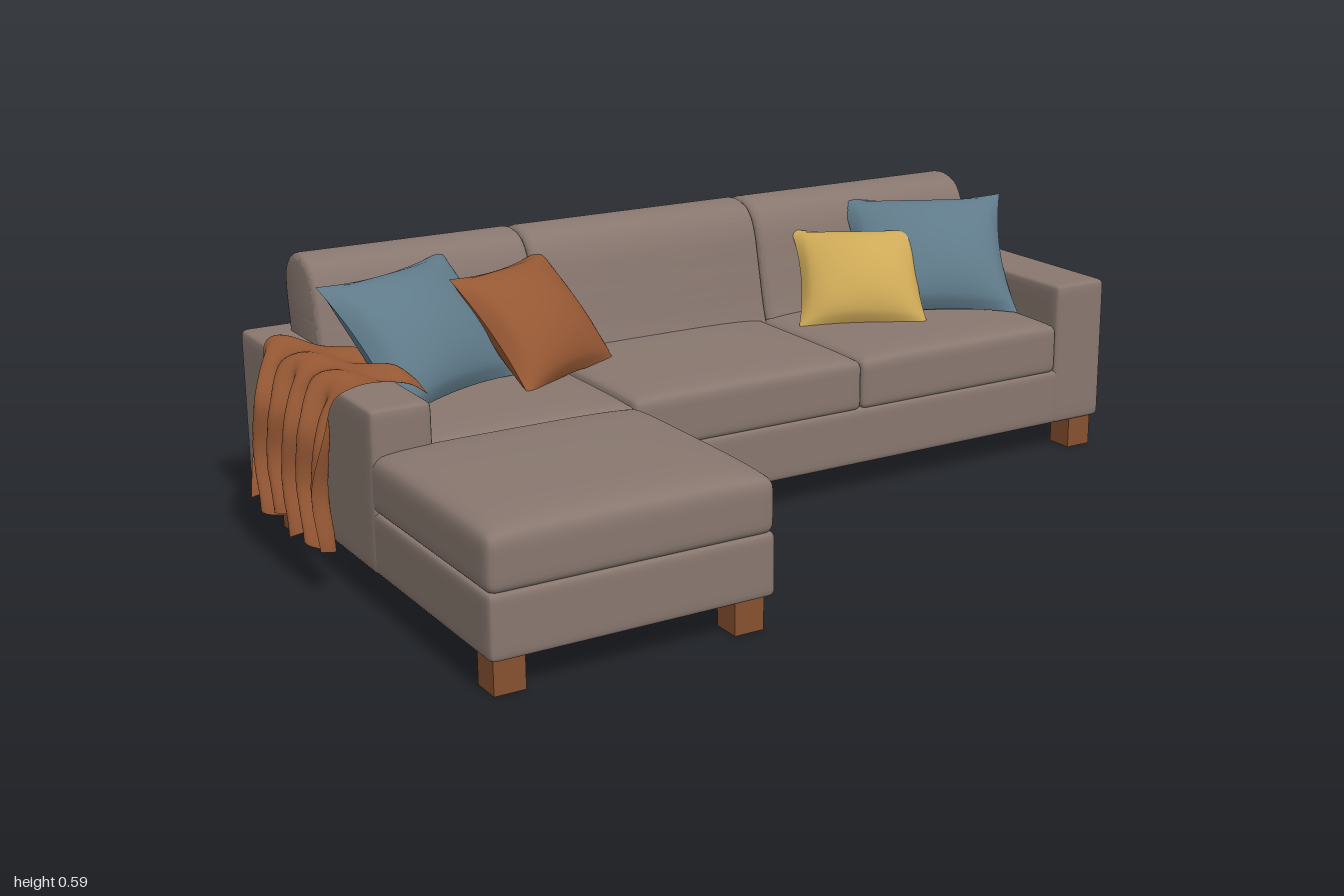
import * as THREE from 'three';
import { mergeVertices, mergeGeometries, toCreasedNormals } from 'three/addons/utils/BufferGeometryUtils.js';

const mat = (name, color, side = THREE.FrontSide) => {
  const m = new THREE.MeshStandardMaterial({ color, side });
  m.name = name;
  return m;
};

// Box with rounded edges; the top can swell by `bulge` at its middle.
function softBox(x0, x1, y0, y1, z0, z1, r, bulge = 0) {
  const size = [x1 - x0, y1 - y0, z1 - z0];
  const mid = [(x0 + x1) / 2, (y0 + y1) / 2, (z0 + z1) / 2];
  let g = new THREE.BoxGeometry(2, 2, 2, 20, 14, 20);
  g.deleteAttribute('uv');
  g.deleteAttribute('normal');
  g = mergeVertices(g);
  const p = g.attributes.position, v = new THREE.Vector3(), q = new THREE.Vector3();
  for (let i = 0; i < p.count; i++) {
    // crowd the grid toward the edges, then round them
    const c = [p.getX(i), p.getY(i), p.getZ(i)];
    v.fromArray(c.map((a, k) => Math.sign(a) * (1 - (1 - Math.abs(a)) ** 2.4) * size[k] / 2));
    const lim = new THREE.Vector3(...size.map(s => s / 2 - r));
    q.copy(v).clamp(lim.clone().negate(), lim);
    v.sub(q).setLength(r).add(q);
    if (bulge) {
      const u = 2 * v.x / size[0], w = 2 * v.z / size[2];
      v.y += bulge * Math.sqrt(Math.max(0, (1 - u ** 4) * (1 - w ** 4))) * (v.y / size[1] + 0.5);
    }
    p.setXYZ(i, v.x + mid[0], v.y + mid[1], v.z + mid[2]);
  }
  g.computeVertexNormals();
  return g;
}

// Back cushion: rounded side profile (z, y) run along x.
function backCushion(x0, x1) {
  const b = 0.018;
  const pts = [[-0.345, 0.31], [-0.36, 0.36], [-0.38, 0.45], [-0.4, 0.53], [-0.43, 0.575], [-0.48, 0.592],
    [-0.53, 0.582], [-0.56, 0.55], [-0.567, 0.5], [-0.555, 0.41], [-0.55, 0.31]].map(a => new THREE.Vector2(...a));
  const shape = new THREE.Shape();
  shape.moveTo(pts[0].x, pts[0].y);
  shape.splineThru(pts.slice(1));
  const g = new THREE.ExtrudeGeometry(shape, {
    depth: x1 - x0 - 2 * b, bevelSize: b, bevelOffset: -b, bevelThickness: b, bevelSegments: 4, curveSegments: 36,
  });
  g.rotateY(-Math.PI / 2);
  g.translate(x1 - b, 0, 0);
  return toCreasedNormals(g, 0.6);
}

// Throw pillow: two swollen sheets meeting in a seam with pointed corners.
function pillow(w, h, t) {
  const side = s => {
    const g = new THREE.PlaneGeometry(2, 2, 22, 22);
    const p = g.attributes.position;
    for (let i = 0; i < p.count; i++) {
      const u = p.getX(i), v = p.getY(i);
      const puff = Math.pow(Math.max(0, (1 - u * u) * (1 - v * v)), 0.6);
      const crease = 1 + 0.05 * Math.sin(5 * u + 3 * v) * (u * u + v * v);
      p.setXYZ(i, u * w / 2 * (1 - 0.1 * (1 - v * v) * u * u),
        v * h / 2 * (1 - 0.1 * (1 - u * u) * v * v), t / 2 * puff * crease);
    }
    if (s < 0) g.rotateY(Math.PI);
    g.computeVertexNormals();
    return g;
  };
  return mergeGeometries([side(1), side(-1)]);
}

// Blanket: runs over the arm and down its outer side, with folds growing toward the hem.
function throwBlanket() {
  const path = new THREE.CatmullRomCurve3([[-0.735, 0.395], [-0.77, 0.422], [-0.83, 0.426], [-0.89, 0.428], [-0.93, 0.405],
    [-0.952, 0.33], [-0.958, 0.22], [-0.962, 0.1]].map(a => new THREE.Vector3(a[0], a[1], 0)));
  const g = new THREE.PlaneGeometry(1, 1, 40, 60);
  const p = g.attributes.position;
  for (let i = 0; i < p.count; i++) {
    const a = p.getX(i) + 0.5, b = p.getY(i) + 0.5;
    // slanted inner edge: the rear corner only just reaches the arm's top
    const start = 0.3 * Math.max(0, 1 - b / 0.65);
    const s = start + (1 - start) * a;
    const c = path.getPointAt(s);
    const hang = THREE.MathUtils.smoothstep(s, 0.3, 0.6);
    const fold = Math.sin(b * 30 + 1.2 * Math.sin(s * 4));
    const ripple = 0.011 * Math.sin(b * 17 + s * 12) * Math.sin(s * 9 + 1);
    const z = -0.43 + 0.42 * b + 0.012 * Math.sin(s * 14) + 0.03 * hang * (1 - b);
    p.setXYZ(i, c.x + hang * (0.026 * fold - 0.004), c.y + (1 - hang) * ripple
      + hang * s * 0.015 * Math.sin(b * 19), z);
  }
  g.computeVertexNormals();
  return g;
}

export function createModel() {
  const root = new THREE.Group();
  root.name = 'cornerSofa';
  const fabric = mat('taupeFabric', 0x88776f);
  const wood = mat('legWood', 0x86502f);
  const blue = mat('blueFabric', 0x5f7a89);
  const rust = mat('rustFabric', 0x965834);
  const yellow = mat('yellowFabric', 0xcda957);
  const blanket = mat('rustBlanket', 0x965834, THREE.DoubleSide);
  const add = (name, geo, m) => {
    const mesh = new THREE.Mesh(geo, m);
    mesh.name = name;
    root.add(mesh);
    return mesh;
  };

  // frame: bases, backs and arms
  add('chaiseBase', softBox(-0.91, -0.304, 0.07, 0.203, -0.6, 0.61, 0.014), fabric);
  add('sofaBase', softBox(-0.296, 0.87, 0.07, 0.203, -0.6, 0.055, 0.014), fabric);
  add('chaiseBack', softBox(-0.91, -0.304, 0.07, 0.41, -0.612, -0.48, 0.014), fabric);
  add('sofaBack', softBox(-0.296, 0.995, 0.07, 0.41, -0.612, -0.48, 0.014), fabric);
  add('rightArm', softBox(-0.912, -0.78, 0.07, 0.41, -0.61, 0.11, 0.014), fabric);
  add('leftArm', softBox(0.85, 0.995, 0.07, 0.41, -0.61, 0.055, 0.014), fabric);

  // seat cushions
  add('chaiseFrontCushion', softBox(-0.91, -0.304, 0.197, 0.308, 0.075, 0.61, 0.022, 0.026), fabric);
  add('chaiseSeatCushion', softBox(-0.79, -0.304, 0.197, 0.31, -0.5, 0.08, 0.018, 0.014), fabric);
  add('middleSeatCushion', softBox(-0.296, 0.29, 0.197, 0.312, -0.5, 0.055, 0.018, 0.014), fabric);
  add('leftSeatCushion', softBox(0.288, 0.855, 0.197, 0.312, -0.5, 0.055, 0.018, 0.014), fabric);

  // back cushions
  for (const [x0, x1] of [[-0.82, -0.303], [-0.303, 0.298], [0.298, 0.92]])
    add('backCushion', backCushion(x0, x1), fabric);

  // block legs
  const leg = new THREE.BoxGeometry(0.065, 0.08, 0.065);
  for (const [x, z] of [[-0.865, 0.56], [-0.355, 0.56], [-0.355, 0.03], [-0.255, 0.015], [0.94, 0.015],
    [-0.865, -0.415], [-0.865, -0.56], [-0.355, -0.56], [-0.255, -0.56], [0.94, -0.56]])
    add('leg', leg, wood).position.set(x, 0.04, z);

  // throw pillows, turned inward and leaning back
  const pillows = [
    ['rightBluePillow', blue, 0.4, 0.33, 0.15, [-0.635, 0.445, -0.255], 25],
    ['rustPillow', rust, 0.33, 0.31, 0.14, [-0.365, 0.427, -0.265], 27],
    ['yellowPillow', yellow, 0.31, 0.27, 0.13, [0.495, 0.415, -0.255], -27],
    ['leftBluePillow', blue, 0.4, 0.33, 0.15, [0.7, 0.445, -0.255], -25],
  ];
  for (const [name, m, w, h, t, pos, yaw] of pillows) {
    const mesh = add(name, pillow(w, h, t), m);
    mesh.position.set(...pos);
    mesh.rotation.set(-0.72, THREE.MathUtils.degToRad(yaw), 0, 'YXZ');
  }

  // blanket on the arm
  add('throwBlanket', throwBlanket(), blanket);
  return root;
}
